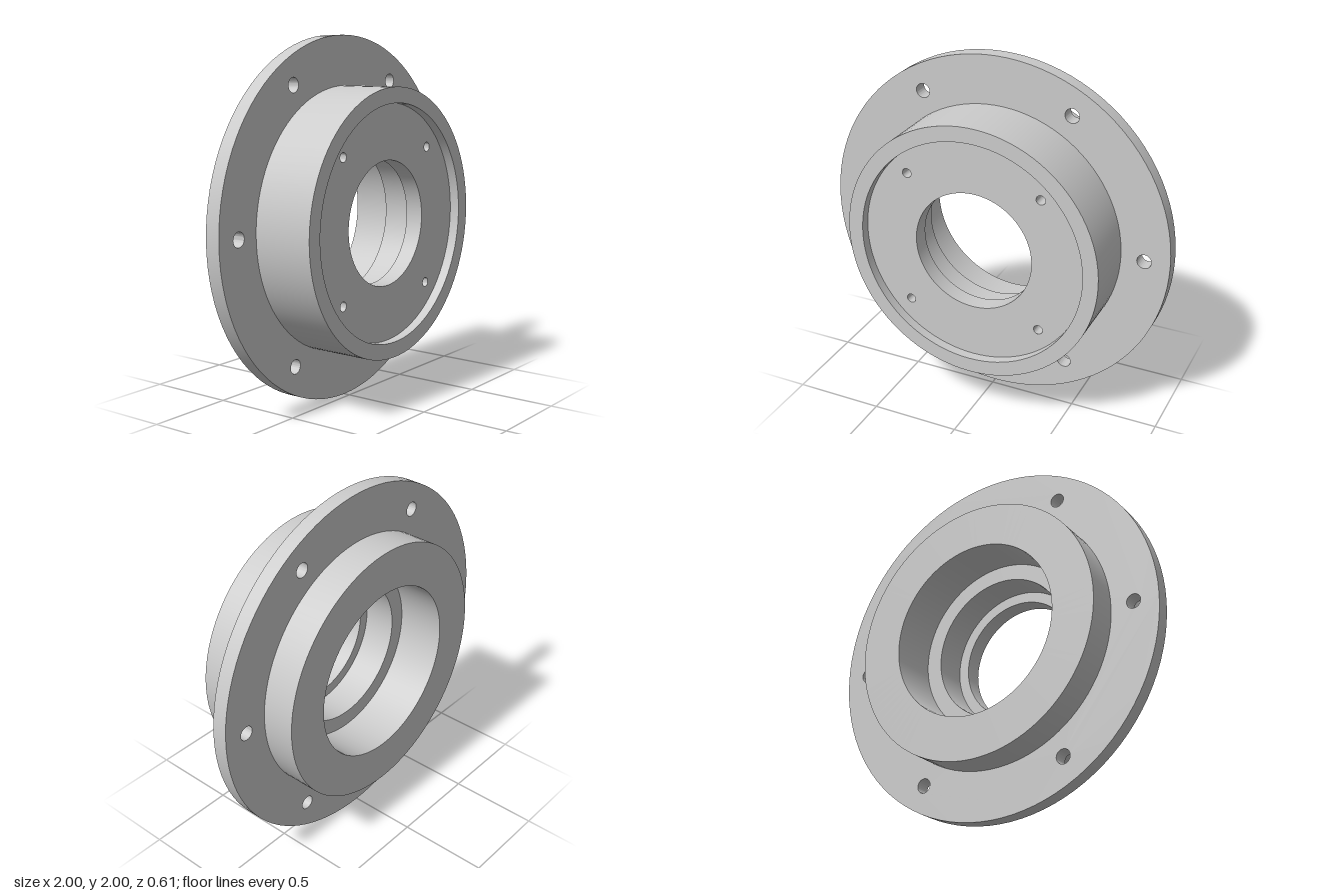
import * as THREE from 'three';
import { toCreasedNormals } from 'three/addons/utils/BufferGeometryUtils.js';

const CREASE = 0.5;
const SEGMENTS = 48;
const material = new THREE.MeshStandardMaterial({ color: 0xcccccc });

// Ring-shaped outline with round holes of radius r at the given centres
function ringShape(outer, inner, centres, r) {
  const shape = new THREE.Shape().absarc(0, 0, outer, 0, Math.PI * 2, false);
  for (const [x, y, radius] of [[0, 0, inner], ...centres.map(([cx, cy]) => [cx, cy, r])]) {
    shape.holes.push(new THREE.Path().absarc(x, y, radius, 0, Math.PI * 2, true));
  }
  return shape;
}

function addMesh(parent, name, geometry) {
  const mesh = new THREE.Mesh(geometry, material);
  mesh.name = name;
  parent.add(mesh);
  return mesh;
}

export function createModel() {
  const model = new THREE.Group();
  model.name = 'flangedHousing';
  const body = new THREE.Group();
  body.name = 'body';
  body.position.y = 1;
  model.add(body);

  const bore = 0.34, recess = 0.645, hubRadius = 0.73;
  const front = 0.305, back = -0.305, floor = 0.25;
  const flangeBack = -0.12, flangeFront = -0.035;

  // Hub: stepped bore, back face, outer wall, front rim and recess wall
  const profile = [
    [bore, floor], [bore, 0.15], [0.4, 0.15], [0.4, flangeFront],
    [0.49, flangeFront], [0.49, back], [hubRadius, back],
    [hubRadius, front], [recess, front], [recess, floor],
  ].map(([r, z]) => new THREE.Vector2(r, z));
  const hub = new THREE.LatheGeometry(profile, SEGMENTS * 2).rotateX(Math.PI / 2);
  addMesh(body, 'hub', toCreasedNormals(hub, CREASE));

  // Mounting flange with six through holes
  const boltHoles = Array.from({ length: 6 }, (_, i) => {
    const a = (i * Math.PI) / 3;
    return [0.858 * Math.cos(a), 0.858 * Math.sin(a)];
  });
  const flange = new THREE.ExtrudeGeometry(ringShape(1, hubRadius, boltHoles, 0.04), {
    depth: flangeFront - flangeBack, bevelEnabled: false, curveSegments: SEGMENTS,
  }).translate(0, 0, flangeBack);
  addMesh(body, 'mountingFlange', toCreasedNormals(flange, CREASE));

  // Recessed front face with four blind screw holes
  const screwHoles = [[1, 1], [-1, 1], [-1, -1], [1, -1]].map(([x, y]) => [x * 0.385, y * 0.385]);
  const screwRadius = 0.026, screwDepth = 0.15;
  const face = new THREE.ShapeGeometry(ringShape(recess, bore, screwHoles, screwRadius), SEGMENTS);
  addMesh(body, 'recessedFace', face).position.z = floor;

  // Screw hole walls and bottoms, facing inwards
  const pocket = new THREE.LatheGeometry([
    new THREE.Vector2(screwRadius, 0),
    new THREE.Vector2(screwRadius, -screwDepth),
    new THREE.Vector2(0, -screwDepth),
  ], 32).rotateX(Math.PI / 2);
  const pocketGeometry = toCreasedNormals(pocket, CREASE);
  const pocketMaterial = material.clone();
  pocketMaterial.side = THREE.DoubleSide;
  for (const [x, y] of screwHoles) {
    const mesh = addMesh(body, 'screwHole', pocketGeometry);
    mesh.material = pocketMaterial;
    mesh.position.set(x, y, floor);
  }

  return model;
}
